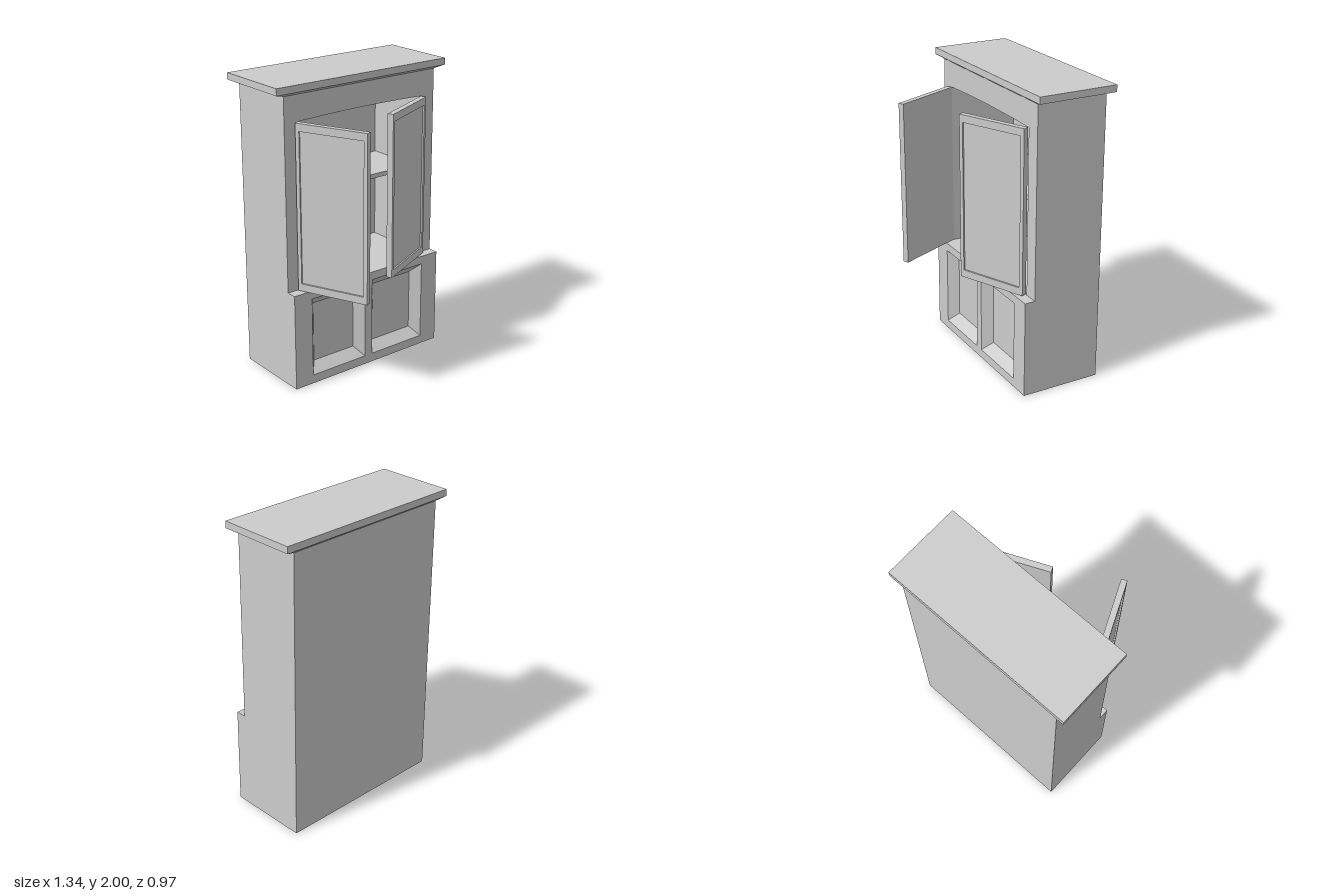
import * as THREE from 'three';

const material = new THREE.MeshStandardMaterial({ color: 0xcccccc, flatShading: true, side: THREE.DoubleSide });

function add(parent, name, geometry, x = 0, y = 0, z = 0) {
  const mesh = new THREE.Mesh(geometry, material);
  mesh.name = name;
  mesh.position.set(x, y, z);
  parent.add(mesh);
  return mesh;
}

function box(parent, name, x0, x1, y0, y1, z0, z1) {
  return add(parent, name, new THREE.BoxGeometry(x1 - x0, y1 - y0, z1 - z0),
    (x0 + x1) / 2, (y0 + y1) / 2, (z0 + z1) / 2);
}

// rectangle outline, usable as a shape or a hole
const rect = (x0, x1, y0, y1) => [[x0, y0], [x1, y0], [x1, y1], [x0, y1]].map(p => new THREE.Vector2(...p));

// four sloped faces joining two rectangular rings of corners
function loft(a, b) {
  const pos = [];
  for (let i = 0; i < 4; i++) {
    const j = (i + 1) % 4;
    for (const p of [a[i], a[j], b[j], a[i], b[j], b[i]]) pos.push(...p);
  }
  const geometry = new THREE.BufferGeometry();
  geometry.setAttribute('position', new THREE.Float32BufferAttribute(pos, 3));
  geometry.computeVertexNormals();
  return geometry;
}

const W = 0.6, BACK = -0.46, FRONT = 0.09, UPPER = 0.02, LEDGE = 0.66, TOP = 1.94;

// door with a sunken panel; side is -1 or 1, hinged at that side
function door(name, side, hingeX, angle) {
  const group = new THREE.Group();
  group.name = name;
  const w = 0.49, y0 = 0.665, y1 = 1.765;
  const x0 = side < 0 ? 0 : -w, x1 = x0 + w;
  box(group, name + 'Panel', x0, x1, y0, y1, 0, 0.028);
  const frame = new THREE.Shape(rect(x0, x1, y0, y1));
  frame.holes.push(new THREE.Path(rect(x0 + 0.025, x1 - 0.025, y0 + 0.05, y1 - 0.05)));
  add(group, name + 'Frame', new THREE.ExtrudeGeometry(frame, { depth: 0.011, bevelEnabled: false }), 0, 0, 0.028);
  group.position.set(hingeX, 0, UPPER);
  group.rotation.y = THREE.MathUtils.degToRad(angle);
  return group;
}

export function createModel() {
  const model = new THREE.Group();
  model.name = 'cabinet';

  // upper case, open at the front with a slightly arched head
  const upper = new THREE.Shape();
  upper.moveTo(-W, LEDGE);
  upper.lineTo(-0.5, LEDGE);
  upper.lineTo(-0.5, 1.765);
  upper.quadraticCurveTo(0, 1.785, 0.5, 1.765);
  upper.lineTo(0.5, LEDGE);
  upper.lineTo(W, LEDGE);
  upper.lineTo(W, TOP);
  upper.lineTo(-W, TOP);
  add(model, 'upperCase', new THREE.ExtrudeGeometry(upper, { depth: UPPER - BACK, bevelEnabled: false, curveSegments: 6 }), 0, 0, BACK);

  // full-height back, cupboard floor and shelf
  add(model, 'backPanel', new THREE.PlaneGeometry(2 * W, TOP).rotateY(Math.PI), 0, TOP / 2, BACK);
  add(model, 'cupboardFloor', new THREE.PlaneGeometry(2 * W, FRONT - BACK).rotateX(-Math.PI / 2), 0, LEDGE, (FRONT + BACK) / 2);
  box(model, 'shelf', -0.5, 0.5, 1.245, 1.275, BACK + 0.005, -0.06);

  // lower case sides, open underneath
  for (const s of [-1, 1]) {
    add(model, s < 0 ? 'rightLowerSide' : 'leftLowerSide',
      new THREE.PlaneGeometry(FRONT - BACK, LEDGE).rotateY(s * Math.PI / 2), s * W, LEDGE / 2, (FRONT + BACK) / 2);
  }
  add(model, 'bottomLip', new THREE.PlaneGeometry(2 * W, 0.065).rotateX(Math.PI / 2), 0, 0, FRONT - 0.0325);

  // lower front with two bevelled recesses
  const front = new THREE.Shape(rect(-W, W, 0, LEDGE));
  const depth = 0.065;
  for (const s of [-1, 1]) {
    const c = s * 0.247;
    const outer = rect(c - 0.217, c + 0.217, 0.06, 0.605);
    const inner = rect(c - 0.163, c + 0.163, 0.125, 0.54);
    front.holes.push(new THREE.Path(outer));
    add(model, 'recessBevel', loft(outer.map(p => [p.x, p.y, FRONT]), inner.map(p => [p.x, p.y, FRONT - depth])).scale(1, 1, 1));
    add(model, 'recessPanel', new THREE.ShapeGeometry(new THREE.Shape(inner)), 0, 0, FRONT - depth);
  }
  add(model, 'lowerFront', new THREE.ShapeGeometry(front), 0, 0, FRONT);

  // open doors
  model.add(door('rightDoor', -1, -0.495, -66));
  model.add(door('leftDoor', 1, 0.49, 24));

  // crown slab with a sloped underside
  box(model, 'crownSlab', -0.67, 0.67, 1.955, 2, -0.485, 0.05);
  const ring = (x, y, z0, z1) => [[-x, y, z1], [x, y, z1], [x, y, z0], [-x, y, z0]];
  add(model, 'crownMoulding', loft(ring(W, 1.935, BACK, UPPER), ring(0.67, 1.955, -0.485, 0.05)));

  return model;
}
